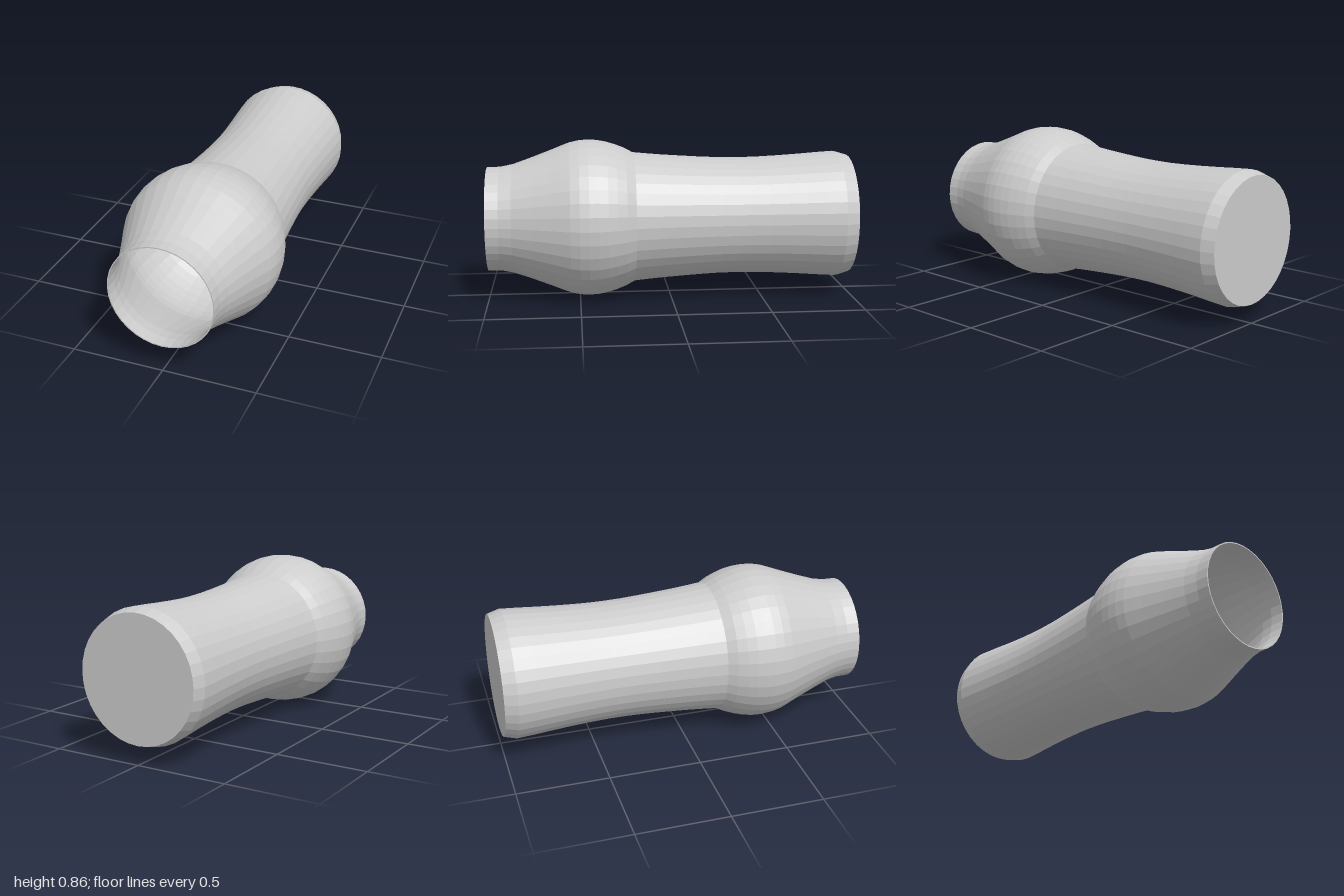
import * as THREE from 'three';

const SEGMENTS = 36;
const AXIS_HEIGHT = 0.43;
const WALL = 0.006;

// Outer outline as [radius, position along z], from the closed base to the open mouth
const OUTLINE = [
  [0.332, -1], [0.352, -0.93], [0.345, -0.82], [0.338, -0.73], [0.331, -0.62],
  [0.326, -0.52], [0.323, -0.42], [0.323, -0.36], [0.325, -0.26], [0.33, -0.16],
  [0.337, -0.05], [0.344, 0.05], [0.351, 0.13], [0.358, 0.2],
  [0.385, 0.25], [0.404, 0.3], [0.419, 0.35], [0.428, 0.4], [0.431, 0.45],
  [0.427, 0.5], [0.416, 0.55], [0.397, 0.6], [0.377, 0.65], [0.358, 0.7],
  [0.339, 0.75], [0.321, 0.8], [0.3, 0.86], [0.286, 0.93], [0.285, 1],
];

function lathe(name, profile, material) {
  const points = profile.map(([r, z]) => new THREE.Vector2(r, z));
  const geometry = new THREE.LatheGeometry(points, SEGMENTS);
  geometry.rotateX(Math.PI / 2); // lay the vessel on its side, mouth to the front
  const mesh = new THREE.Mesh(geometry, material);
  mesh.name = name;
  return mesh;
}

export function createModel() {
  const material = new THREE.MeshStandardMaterial({ color: 0xcccccc, flatShading: true });
  const inner = OUTLINE.map(([r, z], i) => [r - WALL, i === 0 ? z + WALL : z]).reverse();
  const rim = [OUTLINE[OUTLINE.length - 1], inner[0]];

  const vessel = new THREE.Group();
  vessel.name = 'vessel';
  vessel.position.y = AXIS_HEIGHT;
  vessel.add(
    lathe('base', [[0, -1], OUTLINE[0]], material),
    lathe('outerWall', OUTLINE, material),
    lathe('mouthRim', rim, material),
    lathe('innerWall', inner, material),
    lathe('innerFloor', [inner[inner.length - 1], [0, -1 + WALL]], material),
  );

  const model = new THREE.Group();
  model.name = 'lyingVase';
  model.add(vessel);
  return model;
}
